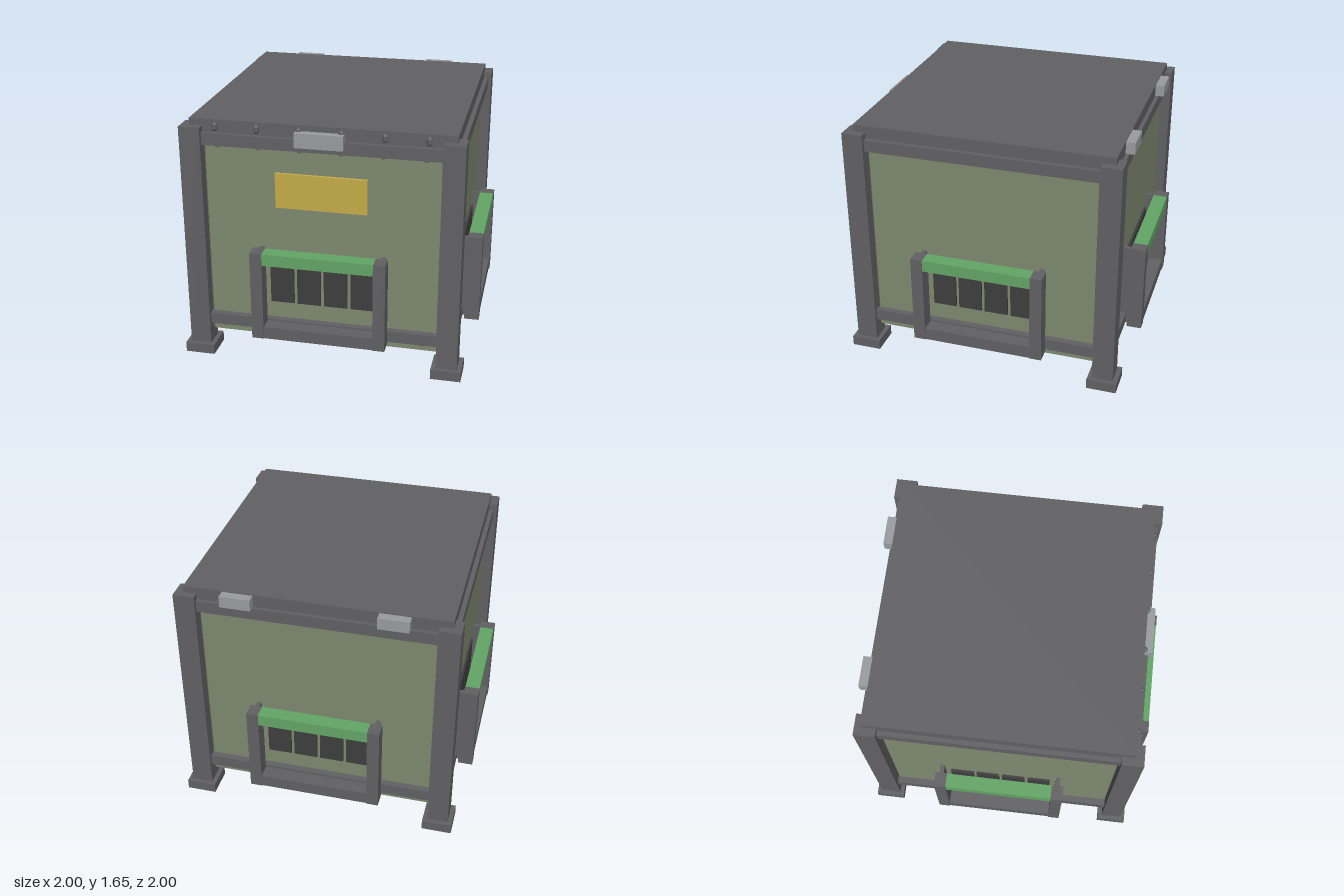
import * as THREE from 'three';

function makeMaterial(name, color) {
  const m = new THREE.MeshStandardMaterial({ color });
  m.name = name;
  return m;
}

export function createModel() {
  const steel = makeMaterial('dark grey steel', 0x626265);
  const panel = makeMaterial('olive panel', 0x7f8a70);
  const vent = makeMaterial('charcoal vent', 0x3f3f40);
  const grip = makeMaterial('green grip', 0x64a666);
  const plate = makeMaterial('yellow plate', 0xc6ad4a);
  const silver = makeMaterial('silver latch', 0x9a9da1);

  const model = new THREE.Group();
  model.name = 'crate';

  // Box given by its min and max on each axis
  function box(parent, name, mat, [x0, x1], [y0, y1], [z0, z1]) {
    const mesh = new THREE.Mesh(new THREE.BoxGeometry(x1 - x0, y1 - y0, z1 - z0), mat);
    mesh.position.set((x0 + x1) / 2, (y0 + y1) / 2, (z0 + z1) / 2);
    mesh.name = name;
    parent.add(mesh);
    return mesh;
  }

  // Body with clipped corners
  const a = 0.84, b = 0.76;
  const outline = new THREE.Shape(
    [[a, -b], [a, b], [b, a], [-b, a], [-a, b], [-a, -b], [-b, -a], [b, -a]]
      .map(([x, y]) => new THREE.Vector2(x, y)));
  const bodyGeo = new THREE.ExtrudeGeometry(outline, { depth: 1.42, bevelEnabled: false });
  bodyGeo.rotateX(-Math.PI / 2).translate(0, 0.15, 0);
  const body = new THREE.Mesh(bodyGeo, panel);
  body.name = 'body';
  model.add(body);

  // Lid
  box(model, 'lid', steel, [-0.855, 0.855], [1.565, 1.655], [-0.86, 0.855]);

  // Corner posts and feet
  for (const sx of [-1, 1]) {
    for (const sz of [-1, 1]) {
      const corner = new THREE.Group();
      corner.name = 'cornerPost';
      corner.position.set(sx * 0.84, 0, sz * 0.84);
      box(corner, 'post', steel, [-0.07, 0.07], [0.06, 1.61], [-0.07, 0.07]);
      box(corner, 'foot', steel, [-0.1, 0.1], [0, 0.068], [-0.1, 0.1]);
      model.add(corner);
    }
  }

  // Each side: rails, vents and a carrying handle
  for (let i = 0; i < 4; i++) {
    const side = new THREE.Group();
    side.name = 'side';
    side.rotation.y = i * Math.PI / 2;
    box(side, 'upperRail', steel, [-0.78, 0.78], [1.49, 1.57], [0.82, 0.885]);
    box(side, 'lowerRail', steel, [-0.78, 0.78], [0.21, 0.288], [0.82, 0.885]);
    for (let k = 0; k < 4; k++) {
      const x = -0.27 + k * 0.18;
      box(side, 'vent', vent, [x - 0.079, x + 0.079], [0.408, 0.715], [0.83, 0.855]);
    }
    const handle = new THREE.Group();
    handle.name = 'handle';
    for (const s of [-1, 1]) {
      const x = s * 0.405;
      box(handle, 'handleUpright', steel, [x - 0.04, x + 0.04], [0.2, 0.815], [0.9, 1]);
      box(handle, 'handleBracket', steel, [x - 0.015, x + 0.015], [0.215, 0.8], [0.83, 0.91]);
    }
    box(handle, 'handleBase', steel, [-0.365, 0.365], [0.2, 0.285], [0.9, 0.995]);
    box(handle, 'handleGrip', grip, [-0.365, 0.365], [0.735, 0.815], [0.902, 0.998]);
    side.add(handle);
    model.add(side);
  }

  // Front plate, latch and rear hinges
  box(model, 'labelPlate', plate, [-0.3, 0.3], [1.09, 1.325], [0.83, 0.86]);
  box(model, 'latch', silver, [-0.158, 0.155], [1.522, 1.618], [0.85, 0.907]);
  for (const x of [-0.5, 0.5]) {
    box(model, 'hinge', silver, [x - 0.1, x + 0.1], [1.572, 1.65], [-0.92, -0.855]);
  }

  // Rivets along the front lid edge and rails
  const rivetGeo = new THREE.CylinderGeometry(0.02, 0.02, 0.03, 10).rotateX(Math.PI / 2);
  const lidRivetGeo = new THREE.CapsuleGeometry(0.018, 0.024, 4, 10);
  for (let k = 0; k < 6; k++) {
    const x = -0.685 + k * 0.273;
    const lidRivet = new THREE.Mesh(lidRivetGeo, steel);
    lidRivet.name = 'lidRivet';
    lidRivet.position.set(x, 1.61, 0.857);
    model.add(lidRivet);
    for (const y of [1.493, 0.21]) {
      const rivet = new THREE.Mesh(rivetGeo, steel);
      rivet.name = 'railRivet';
      rivet.position.set(x * 0.98, y, 0.85);
      model.add(rivet);
    }
  }
  return model;
}
